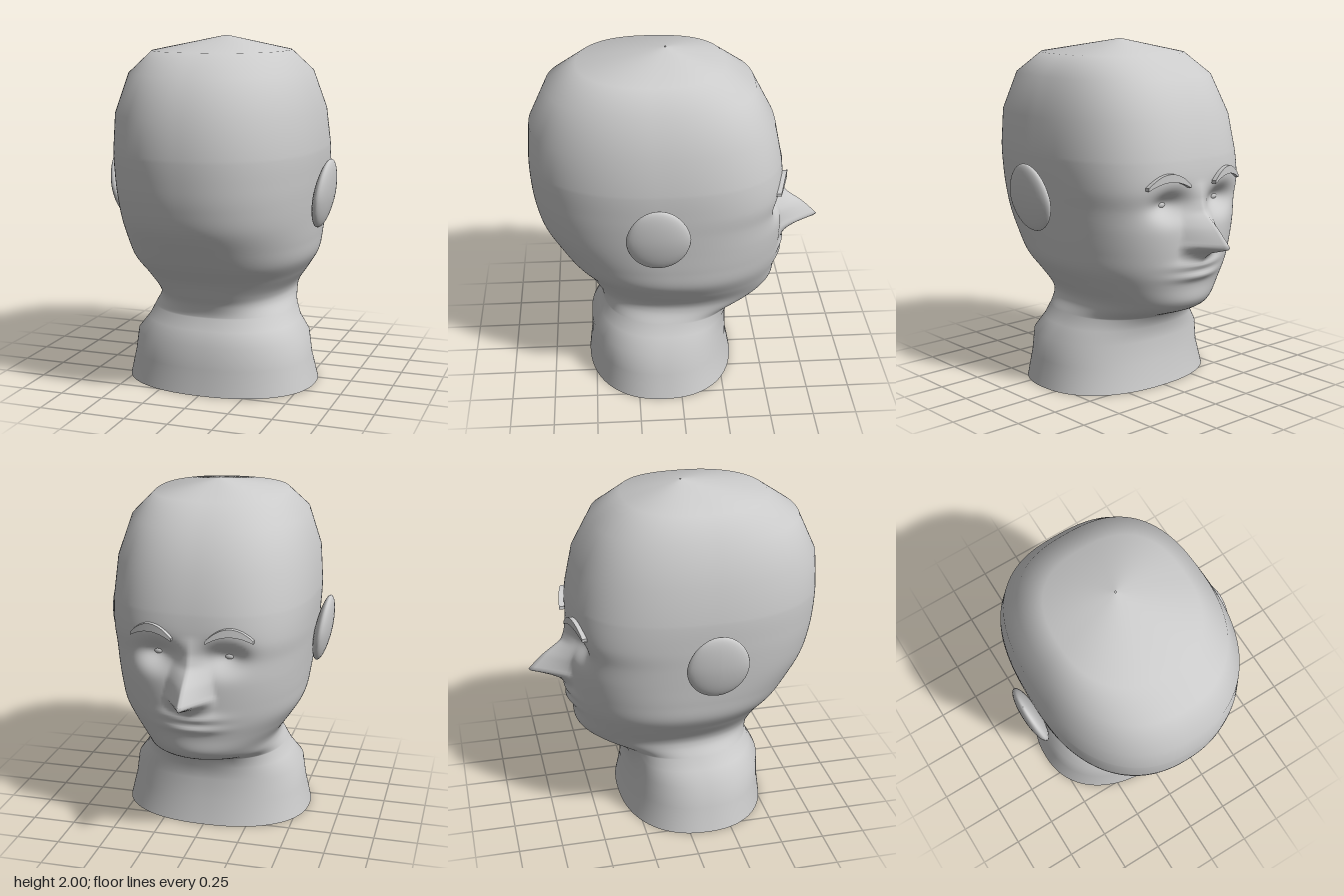
import * as THREE from 'three';

const skin = new THREE.MeshStandardMaterial({ color: 0xcccccc, side: THREE.DoubleSide });
skin.name = 'plainGrey';

// Cross-sections: height, half width, back z, face z, roundness exponent of the face half
const RINGS = [
  [0.00, 0.56, 0.54, -0.33, 2.3],
  [0.15, 0.525, 0.522, -0.30, 2.3],
  [0.28, 0.505, 0.52, -0.295, 2.4],
  [0.36, 0.445, 0.475, -0.295, 2.4],
  [0.43, 0.415, 0.45, -0.34, 2.2],
  [0.50, 0.39, 0.465, -0.51, 2.0],
  [0.56, 0.40, 0.50, -0.575, 2.0],
  [0.65, 0.46, 0.555, -0.59, 2.1],
  [0.75, 0.52, 0.64, -0.605, 2.2],
  [0.86, 0.54, 0.715, -0.61, 2.4],
  [0.98, 0.553, 0.785, -0.61, 2.6],
  [1.10, 0.565, 0.82, -0.605, 2.7],
  [1.22, 0.575, 0.838, -0.61, 2.8],
  [1.38, 0.58, 0.845, -0.595, 2.7],
  [1.58, 0.565, 0.832, -0.555, 2.6],
  [1.80, 0.495, 0.73, -0.44, 2.6],
  [1.92, 0.38, 0.555, -0.27, 2.6],
  [2.00, 0.005, 0.065, 0.055, 2.0],
];
// Nose: height, projection, half width
const NOSE = [
  [0.80, 0, 0.13], [0.86, 0.09, 0.15], [0.905, 0.235, 0.15], [0.93, 0.215, 0.14],
  [1.00, 0.145, 0.13], [1.08, 0.045, 0.11], [1.15, 0.02, 0.09], [1.25, 0, 0.08],
];
const COLUMNS = 240;
const bell = (v, c, s) => Math.exp(-(((v - c) / s) ** 2));

// Forward projection of nose and lips, less the eye sockets
function faceRelief(x, y) {
  const ax = Math.abs(x);
  let d = 0;
  for (let i = 0; i < NOSE.length - 1; i++) {
    const [y0, p0, w0] = NOSE[i], [y1, p1, w1] = NOSE[i + 1];
    if (y < y0 || y >= y1) continue;
    const t = (y - y0) / (y1 - y0);
    const p = p0 + (p1 - p0) * t, w = w0 + (w1 - w0) * t;
    d += p * Math.max(0, 1 - ax / w) ** 1.2;
  }
  d += bell(ax, 0, 0.15) * (0.03 * bell(y, 0.785, 0.03) + 0.028 * bell(y, 0.72, 0.028));
  return d - 0.08 * bell(ax, 0.19, 0.11) * bell(y, 1.13, 0.075);
}

// Smooth rows through the rings, dense only over the face
function headRows() {
  const wide = new THREE.CatmullRomCurve3(
    RINGS.map(r => new THREE.Vector3(r[1], r[0], r[4])), false, 'catmullrom', 0.5);
  const deep = new THREE.CatmullRomCurve3(
    RINGS.map(r => new THREE.Vector3(r[2], r[0], r[3])), false, 'catmullrom', 0.5);
  const rows = [], last = RINGS.length - 1;
  for (let i = 0; i < last; i++) {
    const steps = RINGS[i][0] >= 0.43 && RINGS[i][0] < 1.3 ? 9 : 1;
    for (let k = 0; k < steps; k++) {
      const t = (i + k / steps) / last;
      const a = wide.getPoint(t), b = deep.getPoint(t);
      rows.push([a.y, a.x, b.x, b.z, a.z]);
    }
  }
  rows.push(RINGS[last]);
  return rows;
}

function headGeometry() {
  const pos = [], index = [], rows = headRows();
  rows.forEach(([y, w, back, front, n], r) => {
    const zc = (back + front) / 2, len = (back - front) / 2;
    for (let c = 0; c < COLUMNS; c++) {
      const a = (c / COLUMNS) * Math.PI * 2;
      const ca = Math.cos(a), sa = Math.sin(a);
      const e = sa < 0 ? n : 2.25;
      const rad = (Math.abs(ca) ** e + Math.abs(sa) ** e) ** (-1 / e);
      const x = w * rad * ca;
      let z = zc + len * rad * sa;
      if (sa < -0.3) z -= faceRelief(x, y);
      pos.push(x, y, z);
      if (r === rows.length - 1) continue;
      const i = r * COLUMNS + c, j = r * COLUMNS + (c + 1) % COLUMNS;
      index.push(i, i + COLUMNS, j, j, i + COLUMNS, j + COLUMNS);
    }
  });
  const g = new THREE.BufferGeometry();
  g.setAttribute('position', new THREE.Float32BufferAttribute(pos, 3));
  g.setIndex(index);
  g.computeVertexNormals();
  return g;
}

// Arched strip that wraps round the forehead
function browGeometry(side) {
  const g = new THREE.BoxGeometry(0.25, 0.045, 0.06, 14, 1, 1);
  const p = g.attributes.position;
  for (let i = 0; i < p.count; i++) {
    const u = p.getX(i), x = 0.22 + u;
    const taper = 1 - 0.6 * (u / 0.125) ** 2;
    p.setXYZ(i, side * u, 1.29 - 3.5 * u * u + p.getY(i) * taper,
      -0.61 + 0.6 * x * x + p.getZ(i));
  }
  if (side < 0) { // keep mirrored faces outward
    const a = g.index.array;
    for (let i = 0; i < a.length; i += 3) [a[i], a[i + 1]] = [a[i + 1], a[i]];
  }
  g.computeVertexNormals();
  return g;
}

// Flat egg, narrower towards the top
function earGeometry() {
  const g = new THREE.SphereGeometry(1, 28, 20);
  const p = g.attributes.position;
  for (let i = 0; i < p.count; i++) {
    const y = p.getY(i), k = 1 - 0.1 * Math.max(0, y);
    p.setXYZ(i, p.getX(i) * 0.048 * k, y * 0.198, p.getZ(i) * 0.177 * k);
  }
  g.computeVertexNormals();
  return g;
}

export function createModel() {
  const model = new THREE.Group();
  model.name = 'headBust';
  const add = (name, geometry, x = 0, y = 0, z = 0) => {
    const m = new THREE.Mesh(geometry, skin);
    m.name = name;
    m.position.set(x, y, z);
    model.add(m);
    return m;
  };

  add('headAndNeck', headGeometry());
  for (const side of [1, -1]) {
    const label = side > 0 ? 'left' : 'right';
    const ear = add(label + 'Ear', earGeometry(), side * 0.61, 1.13, 0.135);
    ear.rotation.z = -side * 0.17;
    add(label + 'Eyebrow', browGeometry(side), side * 0.22, 0, 0);
    const eye = add(label + 'Eye', new THREE.SphereGeometry(1, 20, 14), side * 0.2, 1.13, -0.5);
    eye.scale.set(0.032, 0.022, 0.02);
  }
  return model;
}
